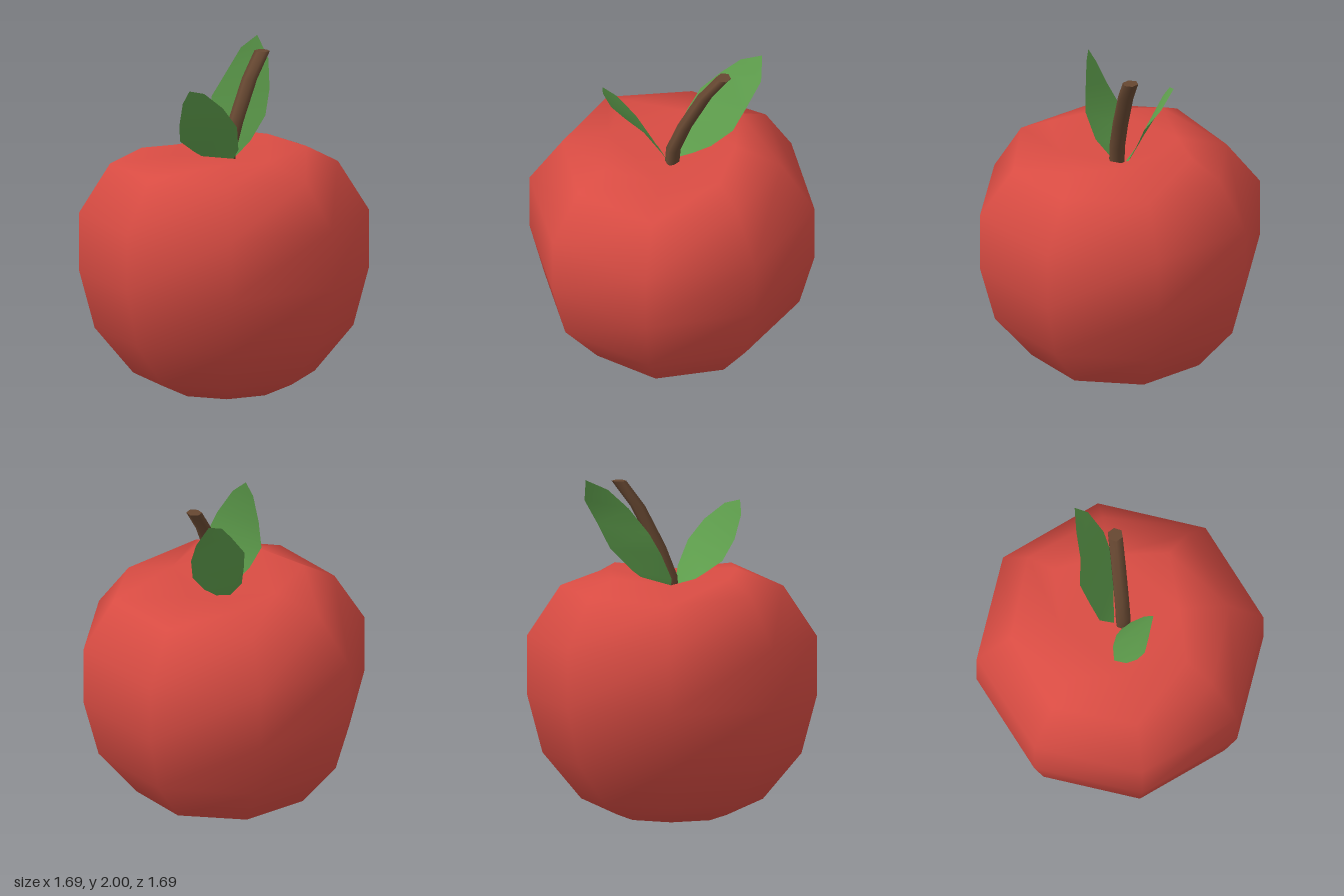
import * as THREE from 'three';

const SIDES = 8;

function meshFrom(name, points, index, color, double = false) {
  const geo = new THREE.BufferGeometry();
  geo.setAttribute('position', new THREE.Float32BufferAttribute(points.flat(), 3));
  geo.setIndex(index);
  geo.computeVertexNormals();
  const side = double ? THREE.DoubleSide : THREE.FrontSide;
  const mesh = new THREE.Mesh(geo, new THREE.MeshStandardMaterial({ color, side, roughness: 0.8 }));
  mesh.name = name;
  return mesh;
}

// Join stacked rings of n points, listed upwards, with outward faces
function wallIndex(rings, n) {
  const index = [];
  for (let r = 0; r < rings - 1; r++) {
    for (let i = 0; i < n; i++) {
      const a = r * n + i, b = r * n + (i + 1) % n;
      index.push(a, b, b + n, a, b + n, a + n);
    }
  }
  return index;
}

// Fruit body: eight-sided rings, with the rim dipping towards front and back
function createFruit() {
  // [radius, height] at the sides, front/back and diagonals
  const same = (r, y) => [[r, y], [r, y], [r, y]];
  const rings = [
    same(0.32, 0.005),
    same(0.53, 0.1),
    same(0.755, 0.37),
    same(0.845, 0.71),
    same(0.845, 1.06),
    [[0.65, 1.355], [0.645, 1.325], [0.665, 1.35]],
    [[0.376, 1.458], [0.35, 1.405], [0.48, 1.442]],
  ];
  const points = [];
  for (const [side, front, diagonal] of rings) {
    for (let i = 0; i < SIDES; i++) {
      const [r, y] = i % 2 ? diagonal : i % 4 ? side : front;
      const a = (i / SIDES) * Math.PI * 2;
      points.push([r * Math.sin(a), y, r * Math.cos(a)]);
    }
  }
  const index = wallIndex(rings.length, SIDES);
  // Sunken top and bottom, each quarter folded across its corner
  const top = (rings.length - 1) * SIDES;
  const bottomPole = points.push([0, 0.08, 0]) - 1;
  const topPole = points.push([0, 1.29, 0]) - 1;
  for (let i = 0; i < SIDES; i += 2) {
    const j = i + 1, k = (i + 2) % SIDES;
    index.push(topPole, top + i, top + k, top + i, top + j, top + k);
    index.push(bottomPole, k, i, i, k, j);
  }
  return meshFrom('fruitBody', points, index, 0xd94c43);
}

// Stem: leaning six-sided stalk with level cross-sections
function createStem() {
  const path = [[0, 1.25], [0.012, 1.41], [0.08, 1.585], [0.2, 1.82], [0.31, 1.968]];
  const points = [];
  for (const [x, y] of path) {
    for (let i = 0; i < 6; i++) {
      const a = (i / 6) * Math.PI * 2 + Math.PI / 2;
      points.push([x + 0.043 * Math.sin(a), y, 0.02 + 0.047 * Math.cos(a)]);
    }
  }
  const index = wallIndex(path.length, 6);
  // Separate flat cap
  const cap = points.length;
  points.push(...points.slice(-6));
  for (let i = 1; i < 5; i++) index.push(cap, cap + i, cap + i + 1);
  return meshFrom('stem', points, index, 0x664731);
}

// Leaf: strip between two edges, gathered to a point at the base
function createLeaf(name, base, edgeA, edgeB) {
  const points = [base];
  edgeA.forEach((p, i) => points.push(p, edgeB[i]));
  const index = [0, 2, 1];
  for (let i = 0; i < edgeA.length - 1; i++) {
    const a = 1 + i * 2;
    index.push(a, a + 1, a + 3, a, a + 3, a + 2);
  }
  return meshFrom(name, points, index, 0x5f9f4d, true);
}

export function createModel() {
  const group = new THREE.Group();
  group.name = 'apple';
  group.add(createFruit(), createStem());

  group.add(createLeaf('leftLeaf', [0.01, 1.3, -0.03],
    [[0, 1.41, -0.12], [0.06, 1.56, -0.17], [0.13, 1.69, -0.215],
      [0.25, 1.835, -0.195], [0.37, 1.945, -0.2], [0.5, 2, -0.19]],
    [[0.12, 1.36, -0.02], [0.23, 1.44, 0], [0.36, 1.57, 0],
      [0.43, 1.715, -0.03], [0.508, 1.87, -0.11], [0.5, 2, -0.19]]));

  group.add(createLeaf('rightLeaf', [-0.01, 1.3, 0.03],
    [[-0.03, 1.45, 0.14], [-0.09, 1.6, 0.183], [-0.185, 1.725, 0.157],
      [-0.305, 1.825, 0.12], [-0.395, 1.85, 0.085]],
    [[-0.09, 1.37, -0.035], [-0.18, 1.43, -0.07], [-0.295, 1.51, -0.08],
      [-0.365, 1.63, -0.02], [-0.403, 1.77, 0.04]]));
  // Turn the base triangles of both leaves the same way as their blades
  for (const leaf of group.children.slice(2)) {
    leaf.geometry.index.set([0, 2, 1]);
    leaf.geometry.computeVertexNormals();
  }
  return group;
}
